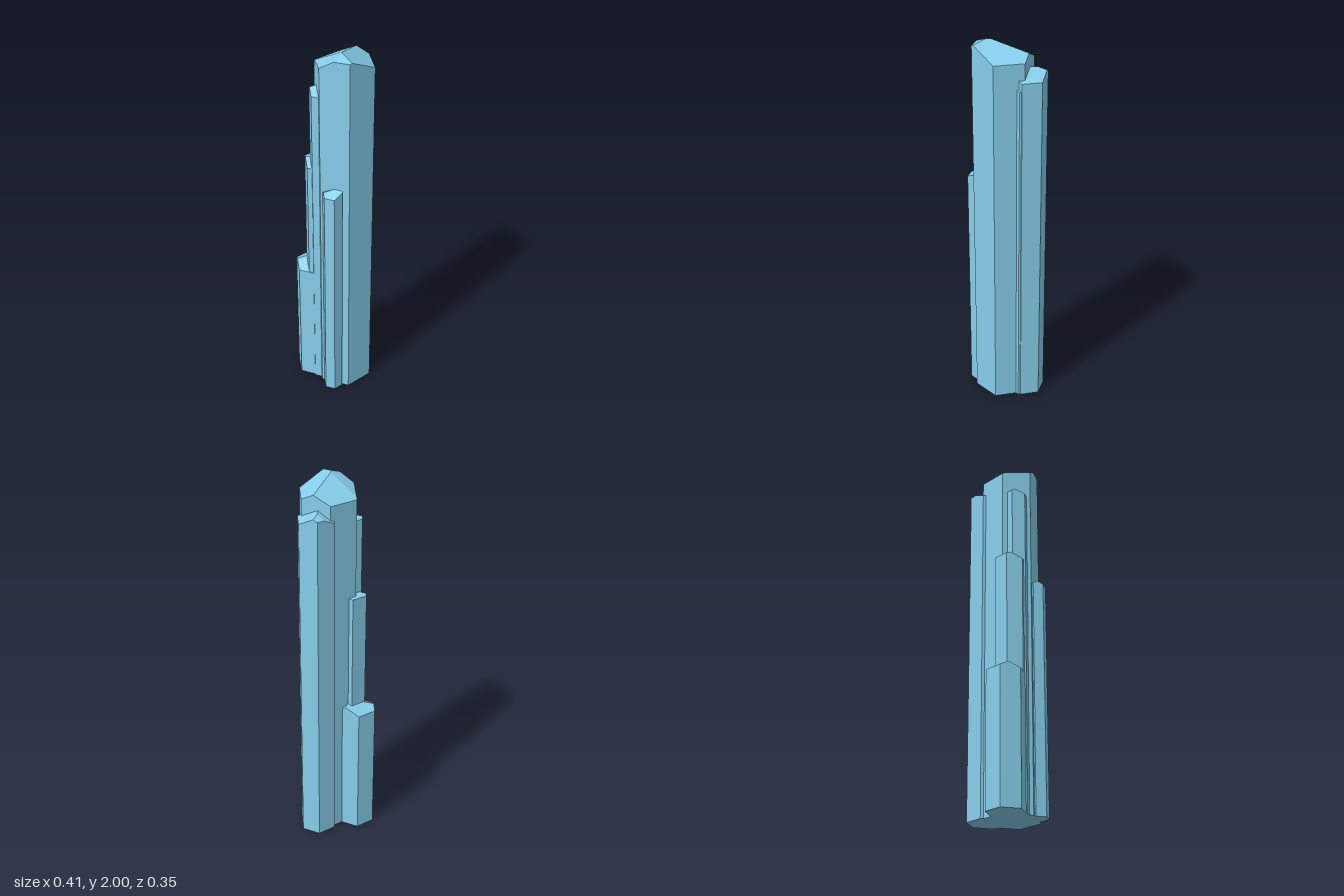
import * as THREE from 'three';

// Slopes [dy/dx, dy/dz] shared by the cut facets on top of the columns
const BACK = [0, 0.55], RIGHT = [-0.47, -0.275], LEFT = [0.47, -0.29], SIDE = [0.43, 0.435];

// Columns: centre x, z, radius, and facets [slope, x, z, y] passing through a point
const COLUMNS = [
  { name: 'mainColumn', x: -0.006, z: 0.04, r: 0.155, facets: [
    [BACK, -0.049, 0.078, 2], [RIGHT, -0.049, 0.078, 2],
    [[0.33, -0.19], -0.063, 0.104, 2], [SIDE, -0.049, 0.078, 2]] },
  { name: 'leftColumn', x: 0.106, z: -0.021, r: 0.1, facets: [
    [BACK, 0.13, -0.067, 1.871], [RIGHT, 0.13, -0.067, 1.871], [SIDE, 0.13, -0.067, 1.871]] },
  { name: 'backLowColumn', x: -0.104, z: -0.087, r: 0.104, facets: [
    [BACK, -0.104, -0.177, 0.725], [LEFT, -0.208, -0.087, 0.715], [RIGHT, -0.012, -0.11, 0.762]] },
  { name: 'backMiddleColumn', x: -0.094, z: -0.04, r: 0.084, facets: [
    [[0, 0.25], -0.094, -0.113, 1.385], [LEFT, -0.178, -0.04, 1.36]] },
  { name: 'backTallColumn', x: -0.1, z: -0.01, r: 0.07, facets: [
    [BACK, -0.1, -0.07, 1.787], [LEFT, -0.17, -0.01, 1.77]] },
  { name: 'frontRightColumn', x: -0.133, z: 0.103, r: 0.053, facets: [
    [BACK, -0.17, 0.078, 1.27], [LEFT, -0.186, 0.103, 1.255]] },
  { name: 'frontLeftSliver', x: 0.112, z: 0.014, r: 0.07, facets: [
    [RIGHT, 0.147, 0.075, 1.78], [BACK, 0.112, -0.03, 1.8]] },
];

const heightOf = ([[b, c], x0, z0, y0]) => ([x, z]) => y0 + b * (x - x0) + c * (z - z0);

// Keep the part of a polygon where f <= 0
function clip(poly, f) {
  const out = [];
  poly.forEach((p, i) => {
    const q = poly[(i + 1) % poly.length], a = f(p), b = f(q);
    if (a <= 0) out.push(p);
    if ((a < 0 && b > 0) || (a > 0 && b < 0)) {
      const t = a / (a - b);
      out.push([p[0] + (q[0] - p[0]) * t, p[1] + (q[1] - p[1]) * t]);
    }
  });
  return out;
}

// Hexagonal prism whose top is the lowest of its sloping facets
function columnGeometry({ x, z, r, facets }) {
  const hexagon = Array.from({ length: 6 }, (_, i) => {
    const a = i * Math.PI / 3;
    return [x + r * Math.cos(a), z - r * Math.sin(a)];
  });
  const apothem = r * Math.sqrt(3) / 2;
  const onRim = ([px, pz]) => [0, 1, 2, 3, 4, 5].findIndex((i) => {
    const a = (i + 0.5) * Math.PI / 3;
    return (px - x) * Math.cos(a) - (pz - z) * Math.sin(a) > apothem - 1e-6;
  }) >= 0;
  const positions = [];
  const fan = (pts) => {
    for (let i = 1; i < pts.length - 1; i++) positions.push(...pts[0], ...pts[i], ...pts[i + 1]);
  };
  const heights = facets.map(heightOf);
  heights.forEach((h, i) => {
    let poly = hexagon;
    heights.forEach((g, j) => {
      if (j !== i) poly = clip(poly, (p) => h(p) - g(p));
    });
    // Top facet, then the walls below its outer edges
    fan(poly.map((p) => [p[0], h(p), p[1]]));
    poly.forEach((p, k) => {
      const q = poly[(k + 1) % poly.length];
      if (!onRim([(p[0] + q[0]) / 2, (p[1] + q[1]) / 2])) return;
      fan([[p[0], 0, p[1]], [q[0], 0, q[1]], [q[0], h(q), q[1]], [p[0], h(p), p[1]]]);
    });
  });
  // Base
  fan(hexagon.map((p) => [p[0], 0, p[1]]).reverse());
  const geometry = new THREE.BufferGeometry();
  geometry.setAttribute('position', new THREE.Float32BufferAttribute(positions, 3));
  geometry.computeVertexNormals();
  return geometry;
}

export function createModel() {
  const group = new THREE.Group();
  group.name = 'crystalColumns';
  const material = new THREE.MeshStandardMaterial({ color: 0x87ceeb, flatShading: true });
  for (const column of COLUMNS) {
    const mesh = new THREE.Mesh(columnGeometry(column), material);
    mesh.name = column.name;
    group.add(mesh);
  }
  return group;
}
